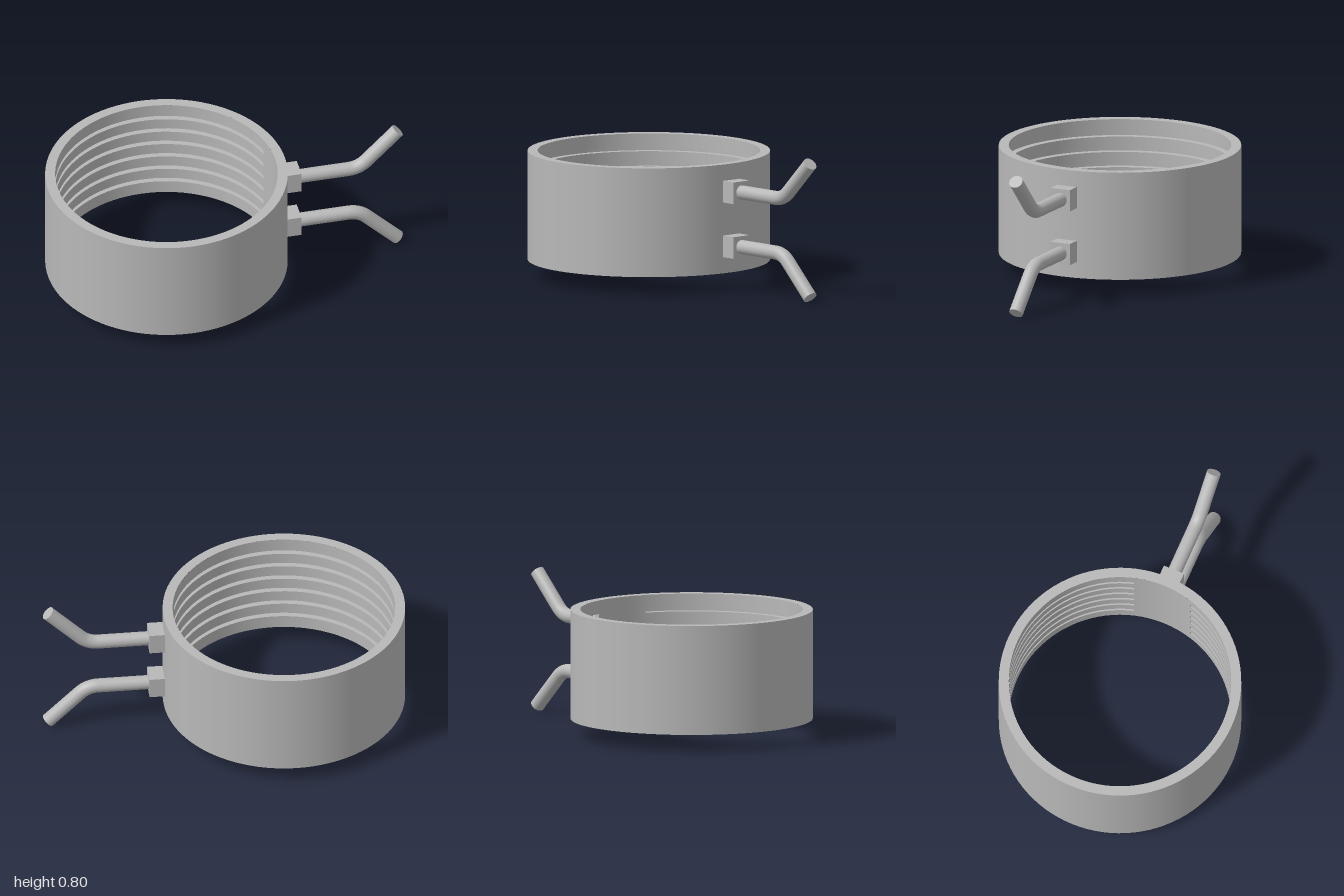
import * as THREE from 'three';
import { mergeGeometries } from 'three/addons/utils/BufferGeometryUtils.js';

const CX = -1 / 3, OUTER = 0.667, INNER = 0.612, BOTTOM = 0.095, TOP = 0.7;
const GROOVES = 6, PITCH = (TOP - BOTTOM) / (GROOVES + 1);
const GROOVE_H = 0.024, GROOVE_R = INNER + 0.038;
const GAP = THREE.MathUtils.degToRad(16); // half angle of the plain wall behind the terminals
const MID = (TOP + BOTTOM) / 2;

// Revolve each profile segment on its own so the edges stay sharp
function revolve(points, start = 0, length = Math.PI * 2, segments = 96) {
  const parts = [];
  for (let i = 0; i + 1 < points.length; i++) {
    const pair = [points[i], points[i + 1]].map(([r, y]) => new THREE.Vector2(r, y));
    parts.push(new THREE.LatheGeometry(pair, segments, start, length));
  }
  return mergeGeometries(parts);
}

export function createModel() {
  const model = new THREE.Group();
  model.name = 'bandHeater';
  const steel = new THREE.MeshStandardMaterial({ color: 0xb8b8b8 });
  steel.name = 'steel grey';

  const add = (parent, name, geometry) => {
    const mesh = new THREE.Mesh(geometry, steel);
    mesh.name = name;
    parent.add(mesh);
    return mesh;
  };

  // Ring body
  const band = new THREE.Group();
  band.name = 'band';
  band.position.x = CX;
  model.add(band);
  add(band, 'outerShell', revolve([[INNER, BOTTOM], [OUTER, BOTTOM], [OUTER, TOP], [INNER, TOP]]));

  // Inner wall with square grooves, running from top to bottom
  const profile = [[INNER, TOP]];
  const ends = [];
  for (let i = 1; i <= GROOVES; i++) {
    const y = TOP - i * PITCH, hi = y + GROOVE_H / 2, lo = y - GROOVE_H / 2;
    profile.push([INNER, hi], [GROOVE_R, hi], [GROOVE_R, lo], [INNER, lo]);
    // Flat walls closing both ends of the groove
    for (const side of [-1, 1]) {
      const wall = new THREE.PlaneGeometry(GROOVE_R - INNER, GROOVE_H);
      if (side > 0) wall.rotateY(Math.PI);
      wall.translate((INNER + GROOVE_R) / 2, y, 0);
      wall.rotateY(side * GAP);
      // Face away from the plain gap and into the groove
      const flip = wall.index.array;
      for (let k = 0; k < flip.length; k += 3) [flip[k], flip[k + 1]] = [flip[k + 1], flip[k]];
      wall.attributes.normal.applyMatrix4(new THREE.Matrix4().makeScale(-1, -1, -1));
      ends.push(wall);
    }
  }
  profile.push([INNER, BOTTOM]);
  add(band, 'groovedWall', revolve(profile, Math.PI / 2 + GAP, 2 * (Math.PI - GAP), 88));
  add(band, 'plainWall', revolve([[INNER, TOP], [INNER, BOTTOM]], Math.PI / 2 - GAP, 2 * GAP, 8));
  add(band, 'grooveEnds', mergeGeometries(ends));

  // Two terminals, bent away from each other
  const v = (x, y) => new THREE.Vector3(x, y, 0);
  for (const side of [1, -1]) {
    const terminal = new THREE.Group();
    terminal.name = side > 0 ? 'upperTerminal' : 'lowerTerminal';
    terminal.position.y = MID + side * 0.152;
    model.add(terminal);

    add(terminal, 'terminalBlock', new THREE.BoxGeometry(0.095, 0.12, 0.12)).position.x = 0.369;

    const bendX = 0.753, t = 0.06, d = t * Math.SQRT1_2;
    const tip = v(0.9724, side * 0.2194), bendEnd = v(bendX + d, side * d);
    const path = new THREE.CurvePath();
    path.add(new THREE.LineCurve3(v(0.4, 0), v(bendX - t, 0)));
    path.add(new THREE.QuadraticBezierCurve3(v(bendX - t, 0), v(bendX, 0), bendEnd));
    path.add(new THREE.LineCurve3(bendEnd, tip));
    add(terminal, 'leadRod', new THREE.TubeGeometry(path, 64, 0.039, 32));

    const cap = add(terminal, 'rodTip', new THREE.CircleGeometry(0.039, 32));
    cap.position.copy(tip);
    cap.lookAt(v(tip.x + 1, tip.y + side));
    // lookAt works in world space, so set the tilt directly
    cap.rotation.set(0, 0, 0);
    cap.quaternion.setFromUnitVectors(v(0, 0).setZ(1), v(1, side).normalize());
  }
  return model;
}
